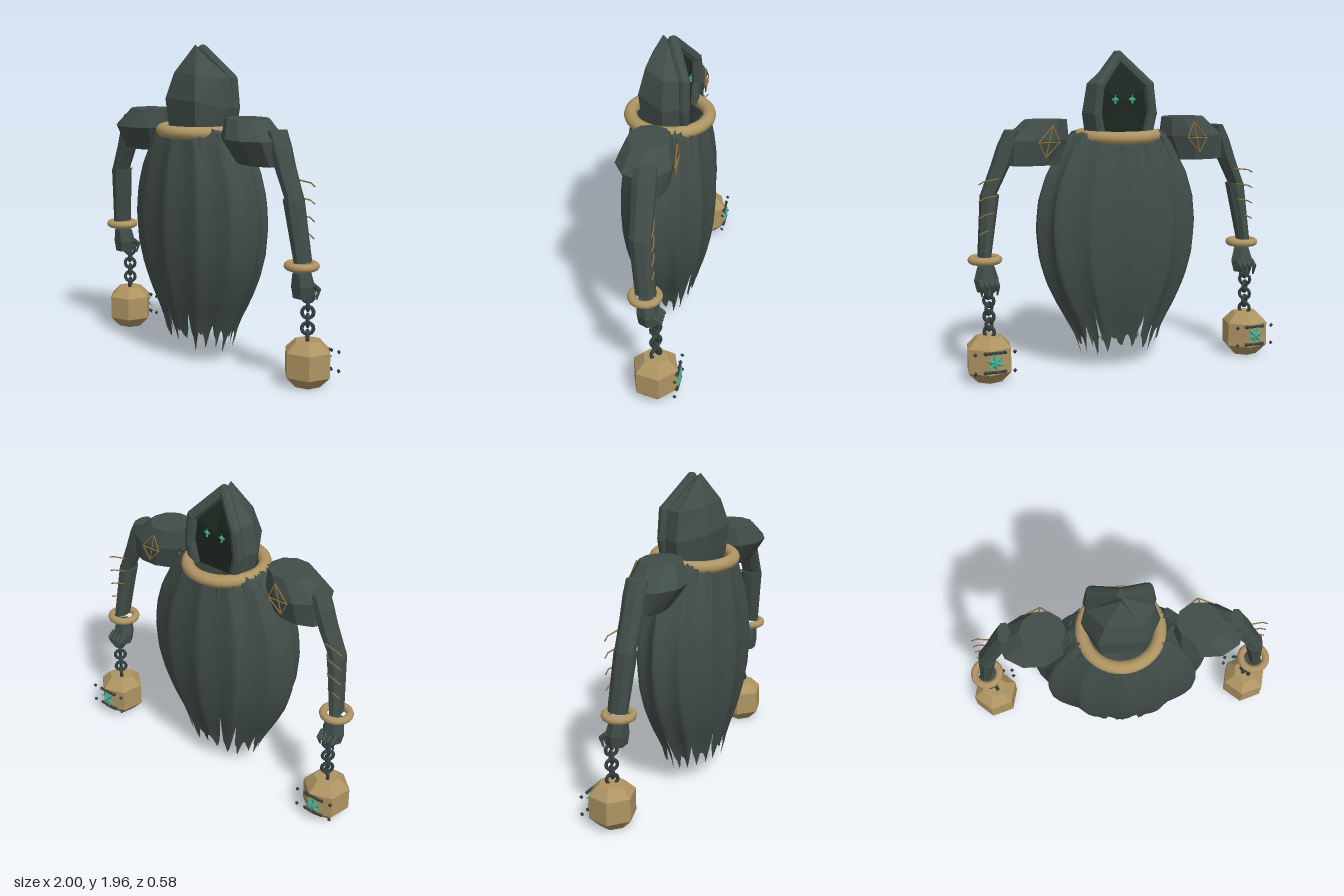
import * as THREE from 'three';

const mat = (name, color) => new THREE.MeshStandardMaterial({ name, color, side: THREE.DoubleSide });
const cloth = mat('dark green cloth', 0x414d49);
const gold = mat('dull gold', 0xae9462);
const shade = mat('hood shadow', 0x1c261f);
const iron = mat('dark iron', 0x343f41);
const teal = mat('teal glow', 0x40ad90);
const thread = mat('brown thread', 0x8c6c3c);

const V = (x, y, z) => new THREE.Vector3(x, y, z);

function add(parent, name, geo, material, x = 0, y = 0, z = 0) {
  const mesh = new THREE.Mesh(geo, material);
  mesh.name = name;
  mesh.position.set(x, y, z);
  parent.add(mesh);
  return mesh;
}

function flat(geo) {
  const g = geo.index ? geo.toNonIndexed() : geo;
  g.computeVertexNormals();
  return g;
}

// Faceted solid through horizontal sections [x, y, z, halfWidth, halfDepth], top first
function loft(sections, n, start = Math.PI / n) {
  const rows = sections.length - 1;
  const k = 1 / Math.cos(Math.PI / n);
  const g = new THREE.CylinderGeometry(1, 1, 1, n, rows, false, start);
  const p = g.attributes.position;
  for (let i = 0; i < p.count; i++) {
    const [x, y, z, w, d] = sections[Math.round((0.5 - p.getY(i)) * rows)];
    p.setXYZ(i, x + p.getX(i) * w * k, y, z + p.getZ(i) * d * k);
  }
  return flat(g);
}

// Straight rod between two points
function rod(parent, name, a, b, r, material, n = 5, r2 = r) {
  const m = add(parent, name, flat(new THREE.CylinderGeometry(r2, r, a.distanceTo(b), n)), material);
  m.position.copy(a).add(b).multiplyScalar(0.5);
  m.quaternion.setFromUnitVectors(V(0, 1, 0), b.clone().sub(a).normalize());
  return m;
}

function surface(points, index) {
  const g = new THREE.BufferGeometry();
  g.setAttribute('position', new THREE.Float32BufferAttribute(points, 3));
  g.setIndex(index);
  return g;
}

// Point on the cloak: twelve sharp pleats round an oval belly
const profile = [[1.5, 0.2, 0.19], [1.465, 0.3, 0.21], [1.4, 0.36, 0.235], [1.2, 0.47, 0.27], [1.05, 0.517, 0.287],
  [0.88, 0.532, 0.293], [0.7, 0.513, 0.285], [0.55, 0.468, 0.265], [0.4, 0.395, 0.233], [0.25, 0.305, 0.187], [0, 0.23, 0.135]];
function cloakPoint(t, y, grow = 1) {
  const i = Math.max(1, profile.findIndex((q) => q[0] <= y));
  const [a, b] = [profile[i - 1], profile[i]];
  const f = (a[0] - y) / (a[0] - b[0]);
  const pleat = grow * (1 - 0.08 * Math.abs(Math.sin(6 * t)));
  return V(Math.cos(t) * pleat * THREE.MathUtils.lerp(a[1], b[1], f), y,
    Math.sin(t) * pleat * THREE.MathUtils.lerp(a[2], b[2], f));
}

// Cloak sheet, open at both ends, with wide torn strips along the hem
function cloakGeometry() {
  const cols = 120, rows = 22, pts = [], idx = [];
  let seed = 11;
  const rand = () => (seed = (seed * 16807) % 2147483647) / 2147483647;
  const tips = Array.from({ length: 20 }, () => 0.07 + 0.1 * rand());
  const slits = Array.from({ length: 20 }, () => 0.19 + 0.3 * rand() * rand());
  for (let c = 0; c < cols; c++) {
    const k = Math.floor(c / 6), step = c % 6;
    const low = [slits[k], 0.21, 0.15, tips[k], 0.17, 0.2][step];
    const top = 1.475 - 0.02 * rand();
    for (let r = 0; r <= rows; r++) {
      const y = THREE.MathUtils.lerp(top, low, (r / rows) ** 1.2);
      pts.push(...cloakPoint((c / cols) * Math.PI * 2, y).toArray());
      if (r < rows) {
        const p = c * (rows + 1) + r, q = ((c + 1) % cols) * (rows + 1) + r;
        idx.push(p, q, p + 1, q, q + 1, p + 1);
      }
    }
  }
  const g = surface(pts, idx);
  g.computeVertexNormals();
  return g;
}

function buildHood(parent) {
  const hood = new THREE.Group();
  hood.name = 'hood';
  parent.add(hood);
  // Shell: each level runs rim, side, back and mirrors round
  const levels = [
    [[0.17, 1.44, -0.12], [0.21, 1.44, 0], [0.125, 1.44, 0.145]],
    [[0.19, 1.59, -0.125], [0.23, 1.58, 0], [0.14, 1.63, 0.162]],
    [[0.16, 1.76, -0.125], [0.198, 1.76, 0], [0.1, 1.79, 0.125]],
    [[0, 1.92, -0.02], [0, 1.93, 0.005], [0, 1.96, 0.04]],
  ];
  const pts = [], idx = [];
  levels.forEach((half, l) => {
    const ring = [...half, ...half.slice().reverse().map(([x, y, z]) => [-x, y, z])];
    ring.forEach((p, i) => {
      pts.push(...p);
      if (l < 3 && i < 5) {
        const a = l * 6 + i, b = a + 6;
        idx.push(a, b, a + 1, b, b + 1, a + 1);
      }
    });
  });
  add(hood, 'hoodShell', flat(surface(pts, idx)), cloth);

  // Thick rim round the face opening
  const rim = [V(0.15, 1.44, -0.115), V(0.18, 1.58, -0.12), V(0.16, 1.75, -0.118), V(0, 1.925, -0.02)];
  for (const s of [1, -1]) {
    const side = rim.map((p) => V(p.x * s, p.y, p.z));
    for (let i = 0; i < 3; i++) {
      rod(hood, 'hoodRim', side[i], side[i + 1], 0.034, cloth, 8);
      add(hood, 'rimJoint', new THREE.SphereGeometry(0.034, 10, 8), cloth, ...side[i + 1].toArray());
    }
  }

  // Dark face, nearly flush with the rim, and glowing eyes
  const loop = [...rim, ...rim.slice(0, 3).reverse().map((p) => V(-p.x, p.y, p.z))];
  const face = [0, 1.66, -0.1], fan = [];
  loop.forEach((p, i) => {
    face.push(p.x, p.y, p.z + 0.012);
    fan.push(0, 1 + i, 1 + ((i + 1) % loop.length));
  });
  add(hood, 'faceShadow', flat(surface(face, fan)), shade);
  for (const s of [1, -1]) {
    const eye = add(hood, 'eye', flat(new THREE.OctahedronGeometry(0.024)), teal, s * 0.055, 1.665, -0.112);
    eye.scale.set(1.1, 0.7, 0.4);
    rod(hood, 'eyeGlint', V(s * 0.055, 1.64, -0.115), V(s * 0.055, 1.695, -0.115), 0.007, teal, 4, 0.002);
  }
}

function buildArm(parent, s) {
  const arm = new THREE.Group();
  arm.name = s > 0 ? 'leftArm' : 'rightArm';
  parent.add(arm);
  const part = (name, sections, n, m = cloth, start) =>
    add(arm, name, loft(sections.map(([x, ...q]) => [x * s, ...q]), n, start), m);
  const line = (name, a, b, r, m, n, r2) =>
    rod(arm, name, V(a[0] * s, a[1], a[2]), V(b[0] * s, b[1], b[2]), r, m, n, r2);

  part('shoulderPad', [[0.455, 1.545, 0.025, 0.13, 0.122], [0.515, 1.43, 0.035, 0.2, 0.165], [0.545, 1.28, 0, 0.165, 0.1]], 10);
  part('upperArm', [[0.68, 1.49, 0, 0.035, 0.065], [0.71, 1.4, 0, 0.05, 0.068], [0.75, 1.28, 0, 0.052, 0.065], [0.83, 1.1, 0, 0.042, 0.06]], 8);
  part('forearm', [[0.818, 1.11, 0, 0.053, 0.066], [0.865, 0.745, -0.035, 0.036, 0.06]], 8);
  const cuff = add(arm, 'wristRing', new THREE.TorusGeometry(0.08, 0.024, 10, 28), gold, s * 0.86, 0.725, -0.03);
  cuff.rotation.x = Math.PI / 2;

  // Hand with curled fingers
  part('hand', [[0.857, 0.685, -0.035, 0.045, 0.05], [0.857, 0.605, -0.045, 0.066, 0.058], [0.857, 0.535, -0.05, 0.052, 0.055]], 6);
  for (let i = 0; i < 4; i++) {
    const x = 0.809 + i * 0.032;
    line('finger', [x, 0.61, -0.085], [x, 0.575, -0.13], 0.014, cloth, 6);
    line('fingerTip', [x, 0.58, -0.13], [x, 0.52, -0.11], 0.013, cloth, 6, 0.005);
  }

  // Chain of broad links
  for (let i = 0; i < 6; i++) {
    const link = add(arm, 'chainLink', new THREE.TorusGeometry(0.034, 0.011, 8, 14), iron, s * 0.857, 0.535 - i * 0.048, -0.09);
    link.rotation.y = Math.PI / 4 + (i % 2) * Math.PI / 2;
  }

  // Weight with its clasps and crystal
  part('weight', [[0.86, 0.275, -0.09, 0.07, 0.07], [0.86, 0.212, -0.09, 0.127, 0.125], [0.86, 0.065, -0.09, 0.127, 0.125],
    [0.86, 0, -0.09, 0.07, 0.07]], 6, gold, -0.21);
  for (const y of [0.085, 0.2]) {
    line('clasp', [0.8, y, -0.23], [0.92, y, -0.23], 0.009, iron, 12);
    for (const x of [0.74, 0.8, 0.92, 0.98]) {
      add(arm, 'stud', flat(new THREE.OctahedronGeometry(0.014)), iron, s * x, y, -0.228);
    }
  }
  const crystal = add(arm, 'crystal', flat(new THREE.OctahedronGeometry(0.042)), teal, s * 0.86, 0.142, -0.23);
  crystal.scale.z = 0.4;
  for (let i = 0; i < 6; i++) {
    const t = (i * Math.PI) / 3 + 0.3;
    line('crystalRay', [0.86, 0.142, -0.233], [0.86 + 0.06 * Math.cos(t), 0.142 + 0.06 * Math.sin(t), -0.238], 0.014, teal, 4, 0.002);
  }

  // Stitches down the arm
  for (let i = 0; i < 4; i++) {
    const y = 1.2 - i * 0.1;
    line('stitch', [0.78 + i * 0.012, y + 0.01, -0.07], [0.87, y, -0.085], 0.004, thread, 12);
    line('stitchEnd', [0.87, y, -0.085], [0.905, y - 0.018, -0.082], 0.004, thread, 12);
  }
  // Cross-laced diamond behind the shoulder
  const d = [[0.46, 1.52, -0.135], [0.55, 1.42, -0.14], [0.505, 1.33, -0.13], [0.42, 1.42, -0.14]];
  d.forEach((p, i) => line('shoulderLacing', p, d[(i + 1) % 4], 0.004, thread, 12));
  line('shoulderLacing', d[0], d[2], 0.004, thread, 12);
  line('shoulderLacing', d[1], d[3], 0.004, thread, 12);
}

export function createModel() {
  const model = new THREE.Group();
  model.name = 'hoodedFigure';
  add(model, 'cloak', cloakGeometry(), cloth);
  // Loose strips hanging from the collar
  for (let i = 0; i < 16; i++) {
    const t = (i + 0.5 + 0.3 * Math.sin(i * 5)) * Math.PI / 8;
    rod(model, 'collarStrip', cloakPoint(t, 1.44), cloakPoint(t, 1.3 - 0.05 * Math.sin(i * 3), 1.01), 0.018, cloth, 5, 0.002);
  }
  const collar = add(model, 'collarRing', new THREE.TorusGeometry(0.23, 0.039, 12, 40), gold, 0, 1.44, 0);
  collar.rotation.x = Math.PI / 2;
  collar.scale.y = 1.03;
  buildHood(model);
  for (const s of [1, -1]) buildArm(model, s);
  // Glowing shards under the hem
  for (const [x, y, z] of [[0.015, 0.2, 0.12], [-0.1, 0.19, -0.08], [0.12, 0.19, -0.06]]) {
    add(model, 'hemShard', flat(new THREE.OctahedronGeometry(0.018)), teal, x, y, z).scale.y = 1.8;
  }
  return model;
}
